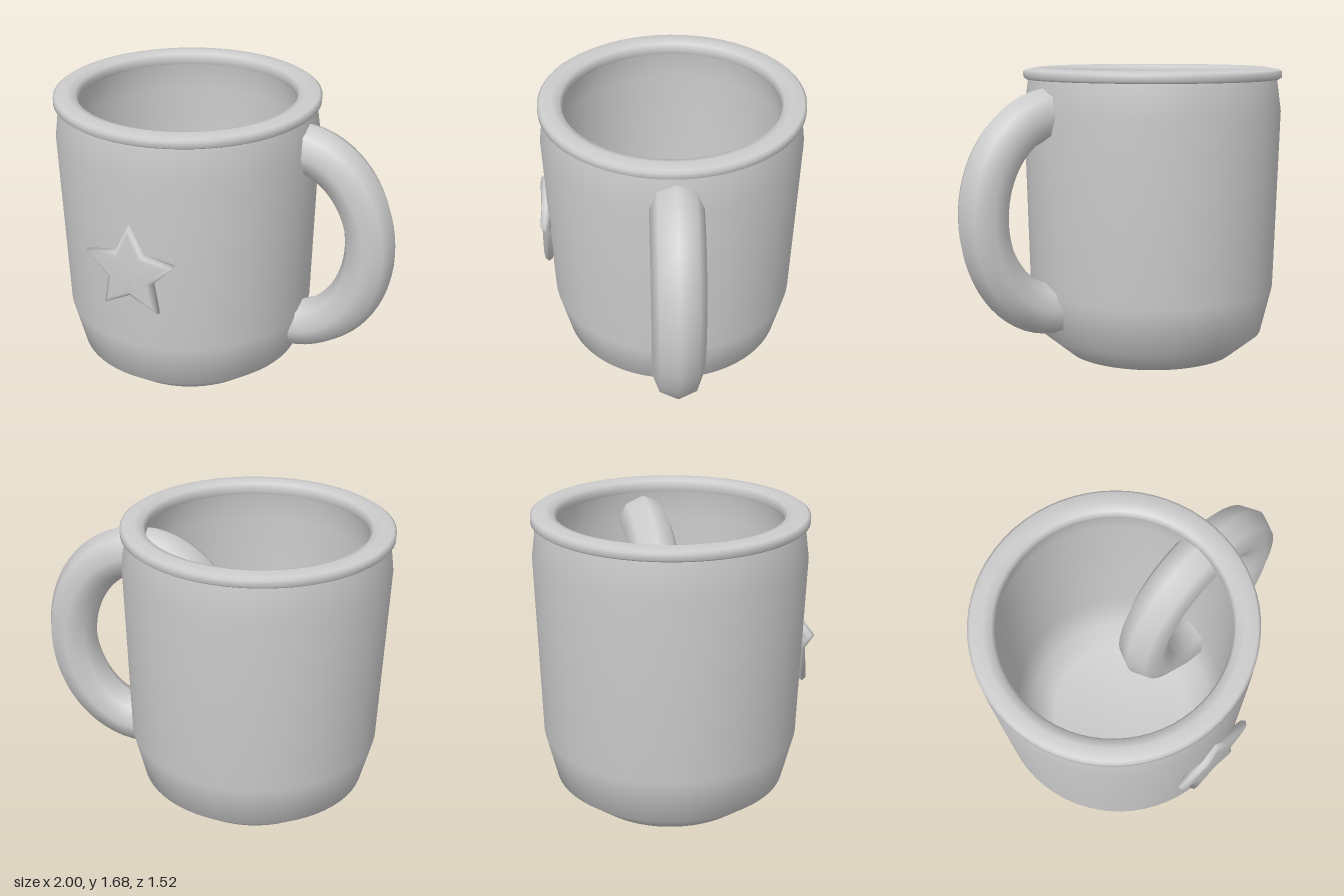
import * as THREE from 'three';
import { mergeVertices } from 'three/addons/utils/BufferGeometryUtils.js';

const CX = -0.25, CZ = -0.01; // axis of the cup

const ceramic = new THREE.MeshStandardMaterial({ color: 0xcccccc });
ceramic.name = 'greyCeramic';

function part(name, geometry, x = 0, y = 0, z = 0) {
  const mesh = new THREE.Mesh(geometry, ceramic);
  mesh.name = name;
  mesh.position.set(x, y, z);
  return mesh;
}

function turned(name, profile) {
  const points = profile.map(([r, y]) => new THREE.Vector2(r, y));
  return part(name, new THREE.LatheGeometry(points, 64), CX, 0, CZ);
}

// Puffy five-pointed star: a ten-sided turned pillow with every other corner pulled in
function starGeometry(outer, inner) {
  const pillow = [[0, -0.03], [0.8, -0.03], [0.94, -0.022], [1, 0], [0.94, 0.022], [0.8, 0.03], [0, 0.03]];
  const raw = new THREE.LatheGeometry(pillow.map(([s, d]) => new THREE.Vector2(s, d)), 10);
  const pos = raw.attributes.position;
  for (let k = 0; k < pos.count; k++) {
    const radius = Math.floor(k / pillow.length) % 2 ? outer : inner;
    pos.setX(k, pos.getX(k) * radius);
    pos.setZ(k, pos.getZ(k) * radius);
  }
  raw.deleteAttribute('uv');
  raw.deleteAttribute('normal');
  const star = mergeVertices(raw, 1e-4);
  star.rotateX(Math.PI / 2);
  star.computeVertexNormals();
  return star;
}

export function createModel() {
  const mug = new THREE.Group();
  mug.name = 'mug';

  // Outer wall with chamfered foot
  mug.add(turned('outerWall', [
    [0, 0], [0.495, 0], [0.655, 0.13], [0.72, 0.4], [0.748, 1.43], [0.722, 1.62],
  ]));

  // Rolled rim
  mug.add(turned('rim', [
    [0.69, 1.612], [0.735, 1.614], [0.75, 1.625], [0.75, 1.658], [0.735, 1.668],
    [0.67, 1.68], [0.625, 1.665], [0.61, 1.635], [0.62, 1.6],
  ]));

  // Inside wall and floor
  mug.add(turned('innerWall', [
    [0.62, 1.61], [0.65, 1.43], [0.625, 0.42], [0.56, 0.2], [0.43, 0.1], [0, 0.1],
  ]));

  // Handle: a full oval ring of eight-sided section passing through the wall
  const oval = new THREE.EllipseCurve(0, 0, 0.445, 0.555).getPoints(48).slice(0, 48)
    .map((p) => new THREE.Vector3(p.x, p.y, 0));
  const path = new THREE.CatmullRomCurve3(oval, true);
  mug.add(part('handle', new THREE.TubeGeometry(path, 64, 0.145, 8, true), 0.41, 0.88, CZ));

  // Raised star on the front
  mug.add(part('star', starGeometry(0.282, 0.143), CX, 0.878, 0.73));

  return mug;
}
